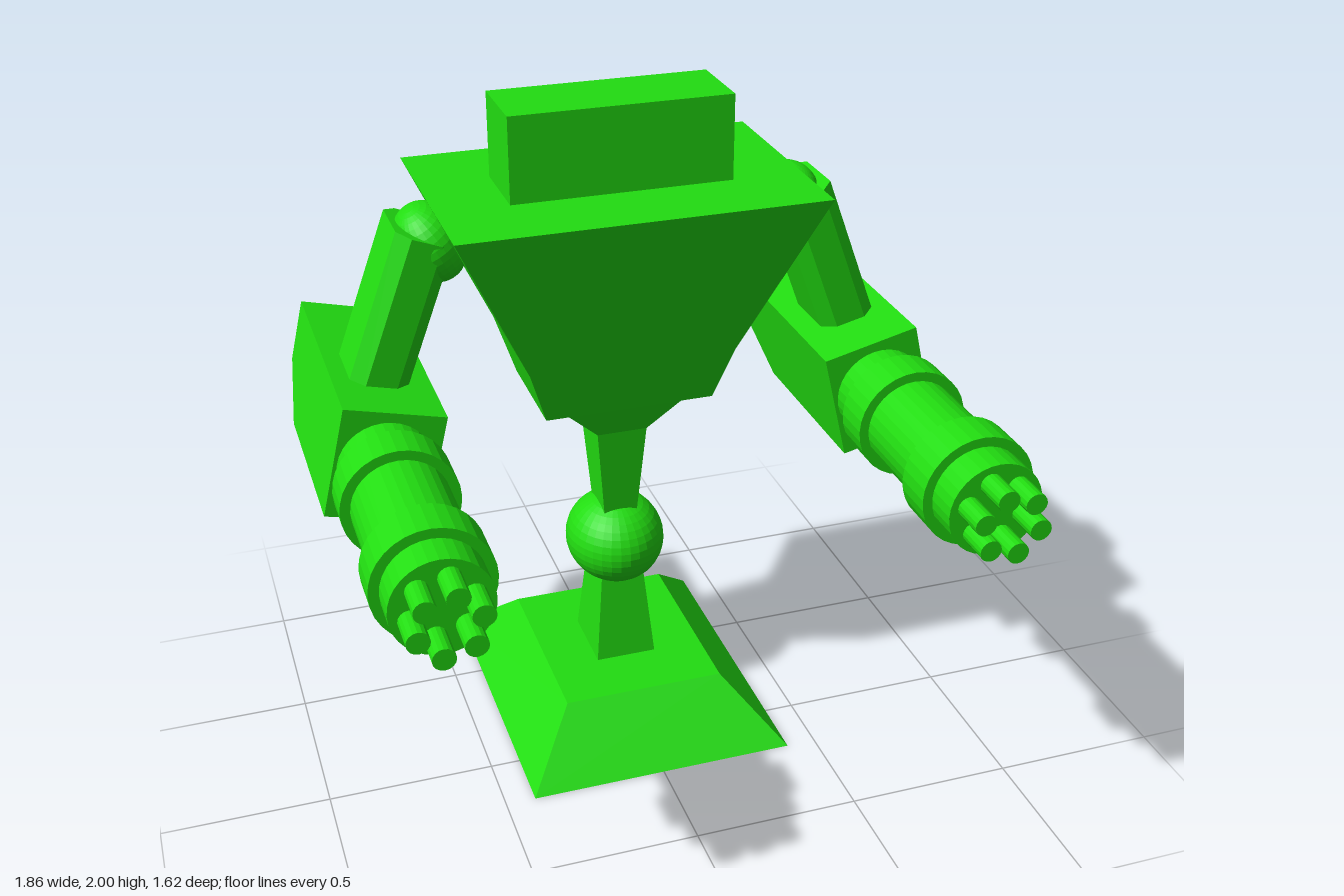
import * as THREE from 'three';

const MID = -0.31; // depth of the walker's central axis

export function createModel() {
  const model = new THREE.Group();
  const green = new THREE.MeshStandardMaterial({ color: 0x22dd11, flatShading: true });

  const add = (parent, name, geometry, x = 0, y = 0, z = 0) => {
    const mesh = new THREE.Mesh(geometry, green);
    mesh.name = name;
    mesh.position.set(x, y, z);
    parent.add(mesh);
    return mesh;
  };

  // Tapered block from y0 to y1; each end is given as [half width, half depth]
  const taper = (name, y0, y1, low, high) => {
    const geo = new THREE.BoxGeometry(2, y1 - y0, 2);
    const p = geo.attributes.position;
    for (let i = 0; i < p.count; i++) {
      const [w, d] = p.getY(i) > 0 ? high : low;
      p.setXYZ(i, p.getX(i) * w, p.getY(i), p.getZ(i) * d);
    }
    geo.computeVertexNormals();
    return add(model, name, geo, 0, (y0 + y1) / 2, MID);
  };

  const extrude = (points, depth) => new THREE.ExtrudeGeometry(
    new THREE.Shape(points.map(([x, y]) => new THREE.Vector2(x, y))),
    { depth, bevelEnabled: false });

  // Cylinder along z between two depths
  const tube = (parent, name, r, z0, z1, sides, x = 0, y = 0) => add(parent, name,
    new THREE.CylinderGeometry(r, r, z1 - z0, sides).rotateX(Math.PI / 2), x, y, (z0 + z1) / 2);

  // Central column, from the ground up
  taper('foot', 0, 0.18, [0.41, 0.5], [0.25, 0.305]);
  taper('lowerLeg', 0.18, 0.5, [0.095, 0.116], [0.065, 0.08]);
  const knee = add(model, 'kneeBall', new THREE.SphereGeometry(1, 32, 20), 0, 0.57, MID);
  knee.scale.set(0.153, 0.143, 0.173);
  taper('upperLeg', 0.66, 0.98, [0.05, 0.067], [0.077, 0.09]);
  taper('hip', 0.98, 1.1, [0.077, 0.09], [0.2, 0.135]);
  taper('lowerTorso', 1.1, 1.27, [0.255, 0.172], [0.31, 0.217]);
  taper('upperTorso', 1.27, 1.75, [0.31, 0.217], [0.535, 0.357]);
  add(model, 'head', new THREE.BoxGeometry(0.65, 0.25, 0.24), 0, 1.875, MID);

  // Arms and rotary guns
  for (const s of [1, -1]) {
    const arm = new THREE.Group();
    arm.name = s > 0 ? 'leftArm' : 'rightArm';
    model.add(arm);

    const shoulder = add(arm, 'shoulderBall', new THREE.SphereGeometry(1, 28, 18), s * 0.53, 1.625, MID);
    shoulder.scale.set(0.1, 0.118, 0.129);
    shoulder.rotation.z = -s * 0.5;

    // Chamfered strut leaning outward
    const strut = extrude([[-0.045, -0.125], [0.045, -0.125], [0.085, -0.088], [0.085, 0.088],
      [0.045, 0.125], [-0.045, 0.125], [-0.085, 0.088], [-0.085, -0.088]], 0.5);
    strut.rotateX(-Math.PI / 2).translate(0, -0.5, 0);
    add(arm, 'armStrut', strut, s * 0.56, 1.67, MID).rotation.z = s * 0.36;

    // Gun housing with its lower rear edge cut off
    const gun = new THREE.Group();
    gun.name = 'gun';
    gun.position.set(s * 0.747, 1.095, 0);
    arm.add(gun);
    const housing = extrude([[-0.02, -0.165], [-0.02, 0.165], [-0.775, 0.165],
      [-0.775, -0.025], [-0.6, -0.165]], 0.294);
    housing.translate(0, 0, -0.147).rotateY(-Math.PI / 2);
    add(gun, 'gunHousing', housing).rotation.z = s * 0.24;

    tube(gun, 'barrelShroud', 0.137, -0.03, 0.71, 32);
    tube(gun, 'rearBand', 0.165, 0.08, 0.2, 32);
    tube(gun, 'frontBand', 0.165, 0.485, 0.61, 32);
    for (let i = 0; i < 6; i++) {
      const a = Math.PI / 12 + i * Math.PI / 3;
      tube(gun, 'barrel', 0.031, 0.7, 0.81, 16, -s * 0.085 * Math.cos(a), 0.085 * Math.sin(a));
    }
  }
  return model;
}
